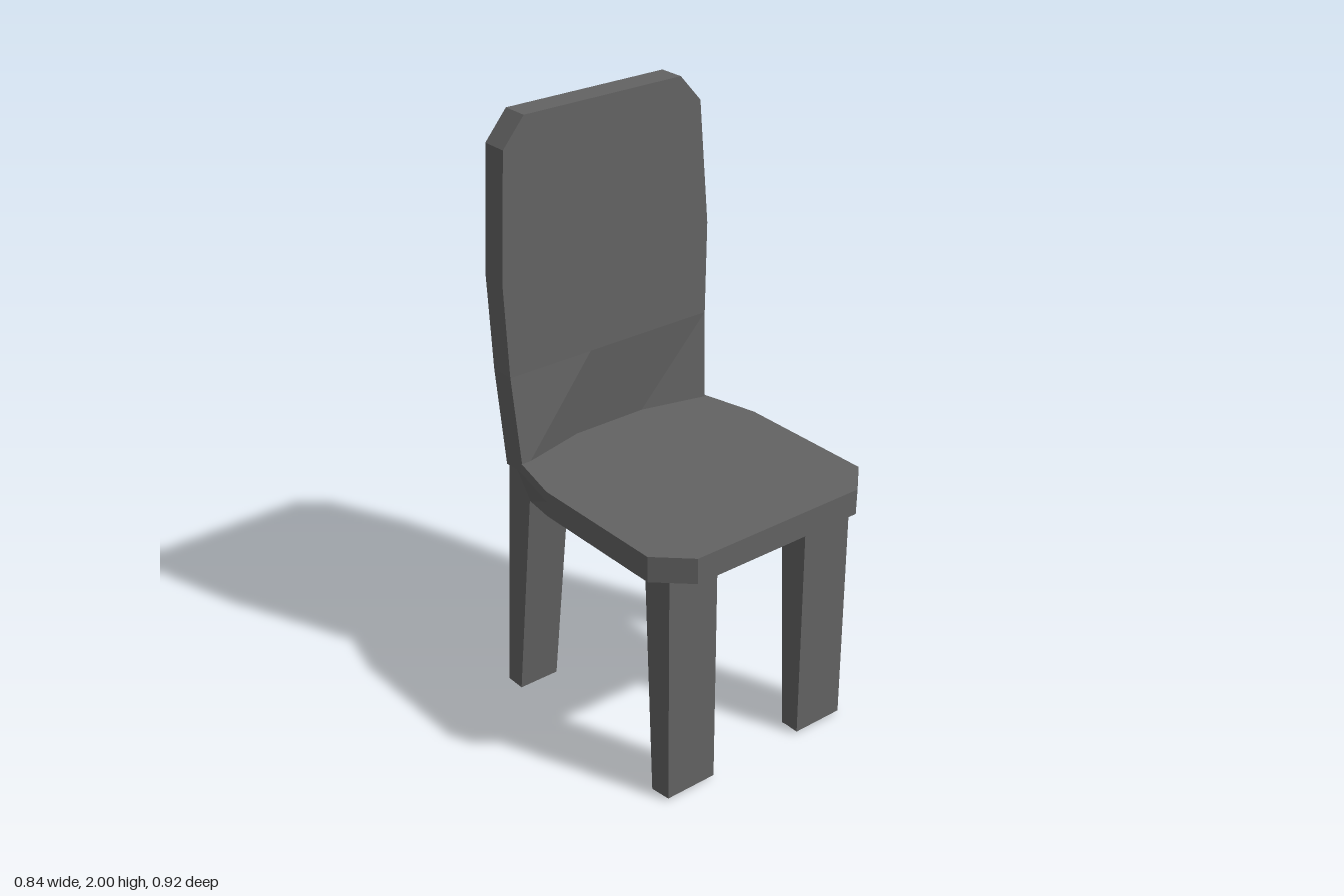
import * as THREE from 'three';

const material = new THREE.MeshStandardMaterial({ color: 0x636363, flatShading: true });

// Skins a stack of rings (bottom to top, counter-clockwise from above) and caps both ends.
function loft(name, rings) {
  const out = [];
  const tri = (...points) => points.forEach((p) => out.push(...p));
  const n = rings[0].length;
  for (let r = 0; r < rings.length - 1; r++) {
    for (let i = 0; i < n; i++) {
      const j = (i + 1) % n;
      const a = rings[r][i], b = rings[r][j], c = rings[r + 1][j], d = rings[r + 1][i];
      tri(a, b, c);
      tri(a, c, d);
    }
  }
  const bottom = rings[0], top = rings[rings.length - 1];
  for (let i = 1; i < n - 1; i++) {
    tri(bottom[0], bottom[i + 1], bottom[i]);
    tri(top[0], top[i], top[i + 1]);
  }
  const geometry = new THREE.BufferGeometry();
  geometry.setAttribute('position', new THREE.Float32BufferAttribute(out, 3));
  geometry.computeVertexNormals();
  const mesh = new THREE.Mesh(geometry, material);
  mesh.name = name;
  return mesh;
}

// A ring at height y from [x, z] pairs.
const ring = (y, points) => points.map(([x, z]) => [x, y, z]);

// Mirrors rings to the other side, keeping their winding.
const mirror = (rings) => rings.map((r) => r.map(([x, y, z]) => [-x, y, z]).reverse());

export function createModel() {
  const chair = new THREE.Group();
  chair.name = 'chair';

  // Seat: clipped front corners, tapered rear, underside dipping at the back
  const seatOutline = (y, rearY, rearX, rearZ) => [
    [0.42, y, -0.13], [rearX, rearY, rearZ], [-rearX, rearY, rearZ], [-0.42, y, -0.13],
    [-0.42, y, 0.36], [-0.315, y, 0.46], [0.315, y, 0.46], [0.42, y, 0.36],
  ];
  chair.add(loft('seat', [
    seatOutline(0.81, 0.77, 0.367, -0.295),
    seatOutline(0.86, 0.86, 0.362, -0.385),
    seatOutline(0.895, 0.895, 0.362, -0.385),
  ]));

  // Backrest: bulging sides, clipped top corners, hollow low on the front
  const backRows = [ // y, half width, front z, hollow half width, hollow z, back z
    [0.86, 0.37, -0.317, 0.12, -0.38, -0.406],
    [1.19, 0.387, -0.34, 0.08, -0.34, -0.426],
    [1.5, 0.398, -0.343, 0.08, -0.343, -0.43],
    [1.91, 0.371, -0.348, 0.08, -0.348, -0.437],
    [2.0, 0.293, -0.349, 0.08, -0.349, -0.438],
  ];
  const backrest = loft('backrest', backRows.map(([y, w, front, c, hollow, back]) => ring(y, [
    [-c, hollow], [c, hollow], [w, front], [w, back], [-w, back], [-w, front],
  ])));
  backrest.position.x = -0.004;
  chair.add(backrest);

  // Rear legs: splayed backwards, bevelled on the inner rear edge, widening into the arch
  const rearLeg = [
    ring(0.01, [[0.37, -0.39], [0.37, -0.46], [0.31, -0.46], [0.235, -0.438], [0.225, -0.39]]),
    ring(0.78, [[0.367, -0.297], [0.367, -0.409], [0.235, -0.409], [0.215, -0.4], [0.215, -0.297]]),
    ring(0.87, [[0.366, -0.317], [0.366, -0.405], [0.17, -0.405], [0.16, -0.4], [0.16, -0.317]]),
  ];
  chair.add(loft('rearLegLeft', rearLeg), loft('rearLegRight', mirror(rearLeg)));

  // Front legs: taper in depth
  const frontLeg = [
    ring(0.008, [[0.36, 0.377], [0.368, 0.308], [0.177, 0.308], [0.177, 0.377]]),
    ring(0.83, [[0.36, 0.386], [0.365, 0.278], [0.177, 0.278], [0.177, 0.386]]),
  ];
  chair.add(loft('frontLegLeft', frontLeg), loft('frontLegRight', mirror(frontLeg)));

  // Triangular flap behind the left front leg, its toe sticking out at the floor
  chair.add(loft('frontLegFlap', [
    [[0.365, 0.008, 0.33], [0.39, 0, 0.305], [0.178, 0.004, 0.306], [0.178, 0.008, 0.33]],
    ring(0.82, [[0.185, 0.29], [0.185, 0.276], [0.178, 0.276], [0.178, 0.29]]),
  ]));
  return chair;
}
